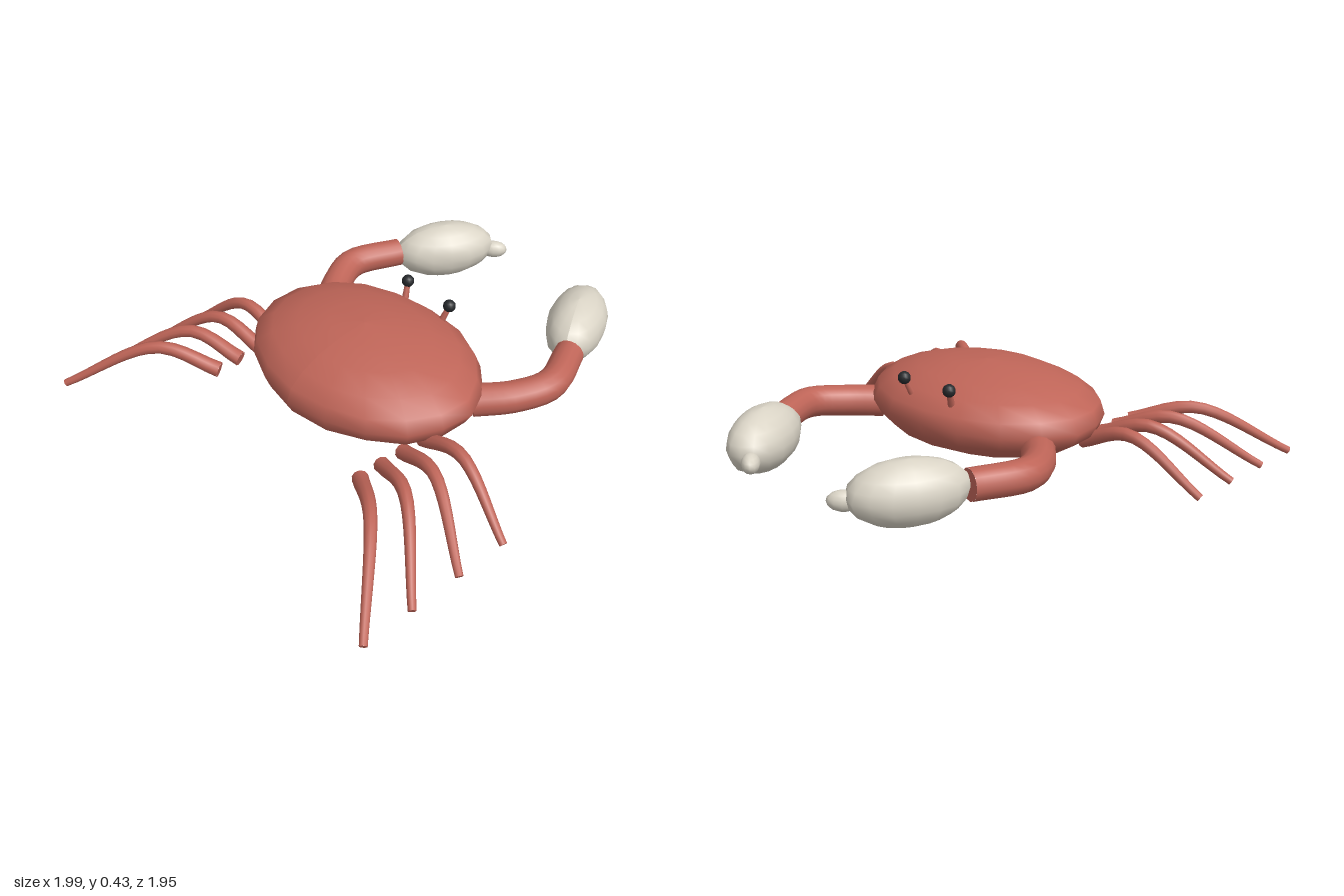
import * as THREE from 'three';

const shell = new THREE.MeshStandardMaterial({ color: 0xbf6558 });
shell.name = 'red shell';
const cream = new THREE.MeshStandardMaterial({ color: 0xdad4c6 });
cream.name = 'cream claw';
const black = new THREE.MeshStandardMaterial({ color: 0x25282b });
black.name = 'black eye';

const vec = (x, y, z) => new THREE.Vector3(x, y, z);

// Closed limb that tapers along a smooth path from r0 to r1
function limb(name, points, r0, r1, sides, material) {
  const steps = 14;
  const curve = new THREE.CatmullRomCurve3(points);
  const geo = new THREE.TubeGeometry(curve, steps, 1, sides, false);
  const pos = geo.attributes.position;
  const v = vec(0, 0, 0);
  for (let i = 0; i <= steps; i++) {
    const t = i / steps;
    const centre = curve.getPointAt(t);
    for (let j = 0; j <= sides; j++) {
      const k = i * (sides + 1) + j;
      v.fromBufferAttribute(pos, k).sub(centre).multiplyScalar(r0 + (r1 - r0) * t).add(centre);
      pos.setXYZ(k, v.x, v.y, v.z);
    }
  }
  const group = new THREE.Group();
  group.name = name;
  group.add(new THREE.Mesh(geo, material));
  for (const t of [0, 1]) {
    const cap = new THREE.Mesh(new THREE.CircleGeometry(t ? r1 : r0, sides), material);
    const out = curve.getTangentAt(t).multiplyScalar(t ? 1 : -1);
    cap.position.copy(curve.getPointAt(t));
    cap.quaternion.setFromUnitVectors(vec(0, 0, 1), out);
    cap.name = name + 'End';
    group.add(cap);
  }
  return group;
}

// Slightly uneven ellipsoid with its poles on the y axis
function lump(name, rx, ry, rz, wide, high, bump, material) {
  const geo = new THREE.SphereGeometry(1, wide, high);
  const pos = geo.attributes.position;
  for (let i = 0; i < pos.count; i++) {
    const x = pos.getX(i), y = pos.getY(i), z = pos.getZ(i);
    const ring = 1 - y * y;
    const s = 1 + bump * ring * Math.sin(5 * x + 3 * y) * Math.cos(6 * z + 2 * y);
    pos.setXYZ(i, x * rx * s, y * ry * s, z * rz * s);
  }
  geo.computeVertexNormals();
  const mesh = new THREE.Mesh(geo, material);
  mesh.name = name;
  return mesh;
}

export function createModel() {
  const crab = new THREE.Group();
  crab.name = 'crab';

  // Wide, flattened shell
  const body = lump('body', 0.408, 0.187, 0.55, 18, 10, 0.02, shell);
  body.position.set(-0.105, 0.246, 0);
  crab.add(body);

  for (const s of [1, -1]) {
    const side = s > 0 ? 'left' : 'right';

    // Four swept-back walking legs: base, knee and tip x positions
    const legs = [
      [-0.53, -0.68, -0.98],
      [-0.42, -0.51, -0.75],
      [-0.31, -0.36, -0.515],
      [-0.2, -0.215, -0.283],
    ];
    legs.forEach(([base, knee, tip], i) => {
      crab.add(limb(side + 'Leg' + (i + 1), [
        vec(base, 0.155, s * 0.445),
        vec(knee, 0.225, s * 0.67),
        vec(tip, 0.02, s * 0.965),
      ], 0.033, 0.016, 10, shell));
    });

    // Bent claw arm
    crab.add(limb(side + 'Arm', [
      vec(0.08, 0.19, s * 0.44),
      vec(0.21, 0.2, s * 0.545),
      vec(0.36, 0.215, s * 0.605),
      vec(0.575, 0.22, s * 0.525),
    ], 0.069, 0.063, 14, shell));

    // Pincer with a small hooked tip
    const claw = lump(side + 'Claw', 0.235, 0.127, 0.127, 16, 10, 0.03, cream);
    claw.position.set(0.762, 0.218, s * 0.405);
    claw.rotation.y = s * 0.49;
    crab.add(claw);
    const tip = new THREE.Mesh(new THREE.SphereGeometry(1, 12, 8), cream);
    tip.name = side + 'ClawTip';
    tip.scale.set(0.063, 0.04, 0.037);
    tip.position.set(0.945, 0.2, s * 0.262);
    tip.rotation.y = s * 0.85;
    crab.add(tip);

    // Eye on a short stalk
    crab.add(limb(side + 'EyeStalk', [
      vec(0.215, 0.31, s * 0.105),
      vec(0.255, 0.405, s * 0.125),
    ], 0.016, 0.011, 8, shell));
    const eye = new THREE.Mesh(new THREE.SphereGeometry(0.027, 12, 8), black);
    eye.name = side + 'Eye';
    eye.position.set(0.255, 0.406, s * 0.125);
    crab.add(eye);
  }
  return crab;
}
